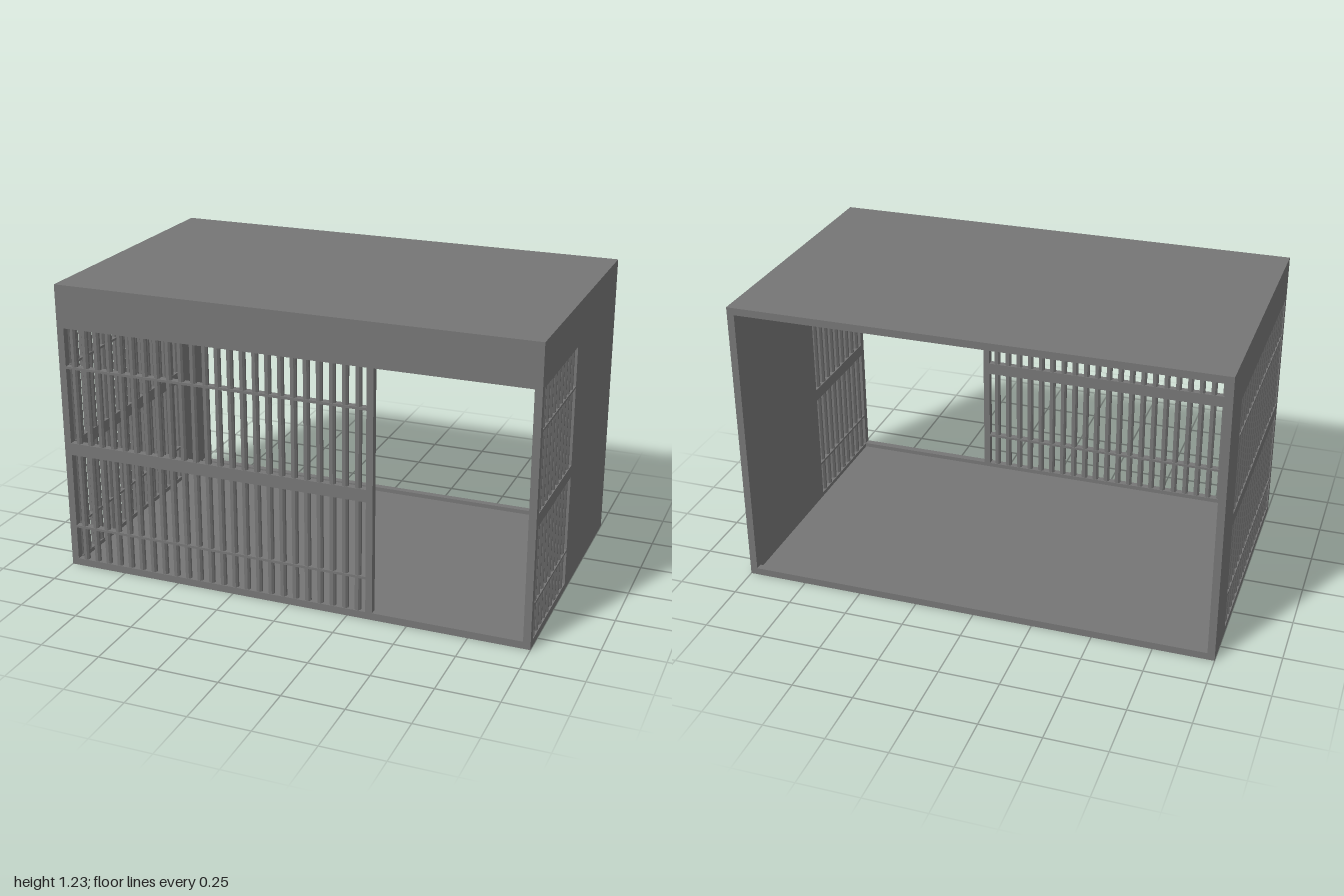
import * as THREE from 'three';

const T = 0.03;            // wall and frame thickness
const SLAB = 0.012;        // floor and roof sheet thickness
const W = 1, D = 0.6;      // half width, half depth
const H = 1.23;            // total height
const SILL = 0.03, HEAD = 1.05; // barred openings, bottom and top
const PITCH = 0.0534;      // bar spacing

const material = new THREE.MeshStandardMaterial({ color: 0x757575 });
const barMaterial = new THREE.MeshStandardMaterial({ color: 0x757575, flatShading: true });

// Eight-sided bar with flats facing the axes
const barGeometry = new THREE.CylinderGeometry(0.0135, 0.0135, HEAD - SILL, 8, 1, true);
barGeometry.rotateY(Math.PI / 8);

// Box given by its limits on each axis
function box(name, x0, x1, y0, y1, z0, z1) {
  const mesh = new THREE.Mesh(new THREE.BoxGeometry(x1 - x0, y1 - y0, z1 - z0), material);
  mesh.position.set((x0 + x1) / 2, (y0 + y1) / 2, (z0 + z1) / 2);
  mesh.name = name;
  return mesh;
}

// Grille along local x, centred on z = 0: bars, a wide middle rail, two thin rails
function grille(name, x0, x1, firstBar, count) {
  const group = new THREE.Group();
  group.name = name;
  for (let i = 0; i < count; i++) {
    const bar = new THREE.Mesh(barGeometry, barMaterial);
    bar.name = 'bar';
    bar.position.set(firstBar + i * PITCH, (SILL + HEAD) / 2, 0);
    group.add(bar);
  }
  group.add(box('middleRail', x0, x1, 0.503, 0.555, -T / 2, T / 2));
  for (const y of [0.179, 0.884]) {
    group.add(box('thinRail', x0, x1, y - 0.005, y + 0.005, -T / 2, T / 2));
  }
  return group;
}

// Side wall with a barred opening from z = back to the front post; outline drawn in (z, y)
function sideWall(name, side, back, firstBar, count) {
  const shape = new THREE.Shape([
    new THREE.Vector2(-D, 0), new THREE.Vector2(D, 0),
    new THREE.Vector2(D, H), new THREE.Vector2(-D, H),
  ]);
  shape.holes.push(new THREE.Path([
    new THREE.Vector2(back, SILL), new THREE.Vector2(back, HEAD),
    new THREE.Vector2(D - T, HEAD), new THREE.Vector2(D - T, SILL),
  ]));
  const geometry = new THREE.ExtrudeGeometry(shape, { depth: T, bevelEnabled: false });
  geometry.translate(0, 0, -T / 2);
  const wall = new THREE.Mesh(geometry, material);
  wall.name = 'wallPanel';
  const group = new THREE.Group();
  group.name = name;
  group.add(wall, grille('sideGrille', back, D - T, firstBar, count));
  group.rotation.y = -Math.PI / 2; // local x becomes z
  group.position.x = side * (W - T / 2);
  return group;
}

export function createModel() {
  const model = new THREE.Group();
  model.name = 'barredCell';
  const inner = W - T;

  // Thin floor and roof, edged by sills and a rear beam; the back is open
  model.add(box('floor', -inner, inner, 0, SLAB, T - D, D - T));
  model.add(box('roof', -inner, inner, H - SLAB, H, T - D, D - T));
  model.add(box('frontSill', -inner, inner, 0, SILL, D - T, D));
  model.add(box('backSill', -inner, inner, 0, SILL, -D, T - D));
  model.add(box('backBeam', -inner, inner, H - T, H, -D, T - D));

  // Side walls: short opening on the left, long one on the right
  model.add(sideWall('leftWall', 1, 0.07, 0.114, 9));
  model.add(sideWall('rightWall', -1, -0.405, -0.359, 18));

  // Front: header, door post and bars beside the open doorway
  model.add(box('frontHeader', -inner, inner, HEAD, H, D - T, D));
  model.add(box('doorPost', 0.328, 0.356, SILL, HEAD, D - T, D));
  const front = grille('frontGrille', -inner, 0.328, -0.936, 24);
  front.position.z = D - T / 2;
  model.add(front);

  return model;
}
